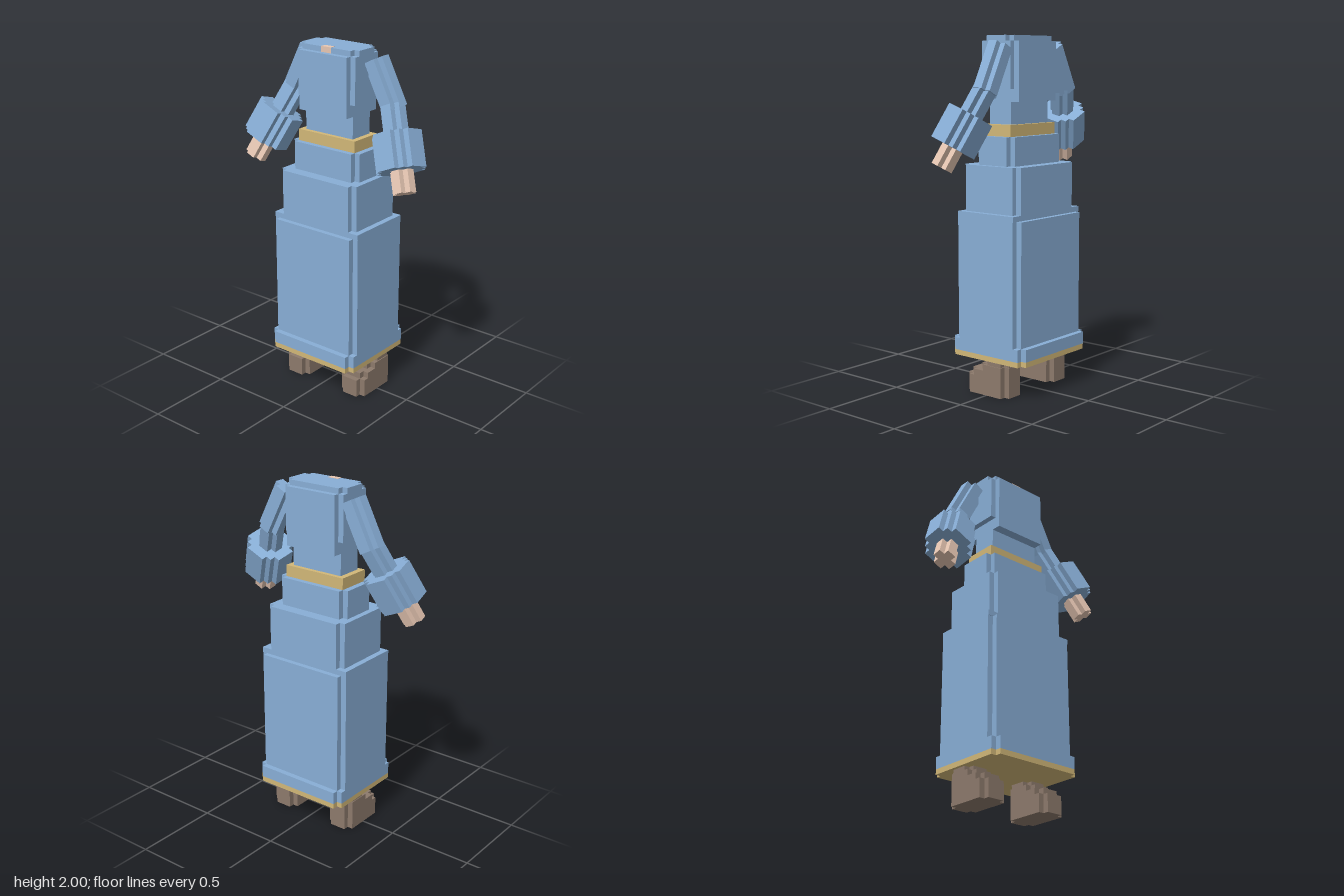
import * as THREE from 'three';

const V = 0.033; // block step
const CX = -0.006; // middle of the gown

const mat = (name, color) => {
  const m = new THREE.MeshStandardMaterial({ color });
  m.name = name;
  return m;
};

// Prism of height h standing on y = 0, its corners cut into stair steps
function steppedPrism(w, d, h, steps = 1) {
  const corner = [];
  for (let i = 0; i <= steps; i++) {
    const x = w / 2 - (steps - i) * V;
    corner.push([x, d / 2 - i * V]);
    if (i < steps) corner.push([x, d / 2 - (i + 1) * V]);
  }
  const back = [...corner].reverse();
  const pts = [
    ...back.map(([x, y]) => [x, y]),
    ...corner.map(([x, y]) => [-x, y]),
    ...back.map(([x, y]) => [-x, -y]),
    ...corner.map(([x, y]) => [x, -y]),
  ].map(([x, y]) => new THREE.Vector2(x, y));
  const geo = new THREE.ExtrudeGeometry(new THREE.Shape(pts), { depth: h, bevelEnabled: false });
  return geo.rotateX(-Math.PI / 2);
}

export function createModel() {
  const model = new THREE.Group();
  model.name = 'gown';
  const blue = mat('blue cloth', 0x88aed6);
  const gold = mat('gold trim', 0xd2b878);
  const skin = mat('skin', 0xe8c8b4);
  const brown = mat('brown leather', 0x8d7a6c);

  const add = (name, geo, material, parent = model) => {
    const mesh = new THREE.Mesh(geo, material);
    mesh.name = name;
    parent.add(mesh);
    return mesh;
  };

  // Gown layers: name, width, depth, bottom, top, colour, corner steps
  const layers = [
    ['hemTrim', 0.593, 0.525, 0.2, 0.23, gold, 1],
    ['hem', 0.593, 0.525, 0.23, 0.3, blue, 1],
    ['lowerSkirt', 0.593, 0.46, 0.3, 1.0, blue, 1],
    ['lowerSkirtRim', 0.593, 0.4, 1.0, 1.03, blue, 0],
    ['middleSkirt', 0.526, 0.4, 1.03, 1.29, blue, 1],
    ['upperSkirt', 0.46, 0.263, 1.29, 1.45, blue, 1],
    ['belt', 0.393, 0.2, 1.45, 1.515, gold, 0],
    ['waist', 0.327, 0.15, 1.515, 1.64, blue, 0],
    ['lowerBodice', 0.327, 0.263, 1.64, 1.71, blue, 0],
    ['bodice', 0.393, 0.263, 1.71, 1.97, blue, 1],
    ['shoulders', 0.393, 0.197, 1.97, 2.0, blue, 1],
  ];
  for (const [name, w, d, y0, y1, m, steps] of layers) {
    add(name, steppedPrism(w, d, y1 - y0, steps), m).position.set(CX, y0, 0);
  }

  // Bare skin at the neckline
  add('neckline', new THREE.BoxGeometry(0.066, 0.034, 0.034), skin).position.set(CX, 1.985, 0.083);

  // Stepped prism running between two points
  const limb = (name, from, to, w, d, steps, material, parent) => {
    const up = from.clone().sub(to);
    const length = up.length();
    up.normalize();
    const side = new THREE.Vector3(up.y, -up.x, 0).normalize();
    const front = side.clone().cross(up);
    const geo = steppedPrism(w, d, length, steps);
    geo.applyMatrix4(new THREE.Matrix4().makeBasis(side, up, front).setPosition(to));
    add(name, geo, material, parent);
  };

  for (const s of [-1, 1]) {
    const side = s > 0 ? 'left' : 'right';
    const p = (x, y, z) => new THREE.Vector3(CX + s * x, y, z);

    // Arm: sleeve bent at the elbow, wide cuff, hand
    const arm = new THREE.Group();
    arm.name = side + 'Arm';
    model.add(arm);
    limb('upperSleeve', p(0.222, 1.94, -0.047), p(0.35, 1.69, -0.047), 0.132, 0.125, 1, blue, arm);
    limb('lowerSleeve', p(0.33, 1.73, -0.05), p(0.41, 1.55, 0.012), 0.13, 0.12, 1, blue, arm);
    limb('cuff', p(0.402, 1.575, 0.005), p(0.48, 1.4, 0.065), 0.252, 0.245, 2, blue, arm);
    limb('hand', p(0.47, 1.43, 0.055), p(0.53, 1.294, 0.101), 0.12, 0.115, 1, skin, arm);

    // Boot: layers shortening from toe to instep, then the ankle
    const boot = new THREE.Group();
    boot.name = side + 'Boot';
    boot.position.x = s * 0.206;
    model.add(boot);
    const bootLayers = [
      ['sole', 0.165, -0.14, 0.155, 0, 0.105, 1],
      ['toeTop', 0.165, -0.14, 0.122, 0.105, 0.14, 1],
      ['instep', 0.165, -0.14, 0.055, 0.14, 0.175, 1],
      ['ankle', 0.155, -0.135, 0.025, 0.175, 0.21, 1],
    ];
    for (const [name, w, z0, z1, y0, y1, steps] of bootLayers) {
      add(name, steppedPrism(w, z1 - z0, y1 - y0, steps), brown, boot).position.set(0, y0, (z0 + z1) / 2);
    }
  }
  return model;
}
